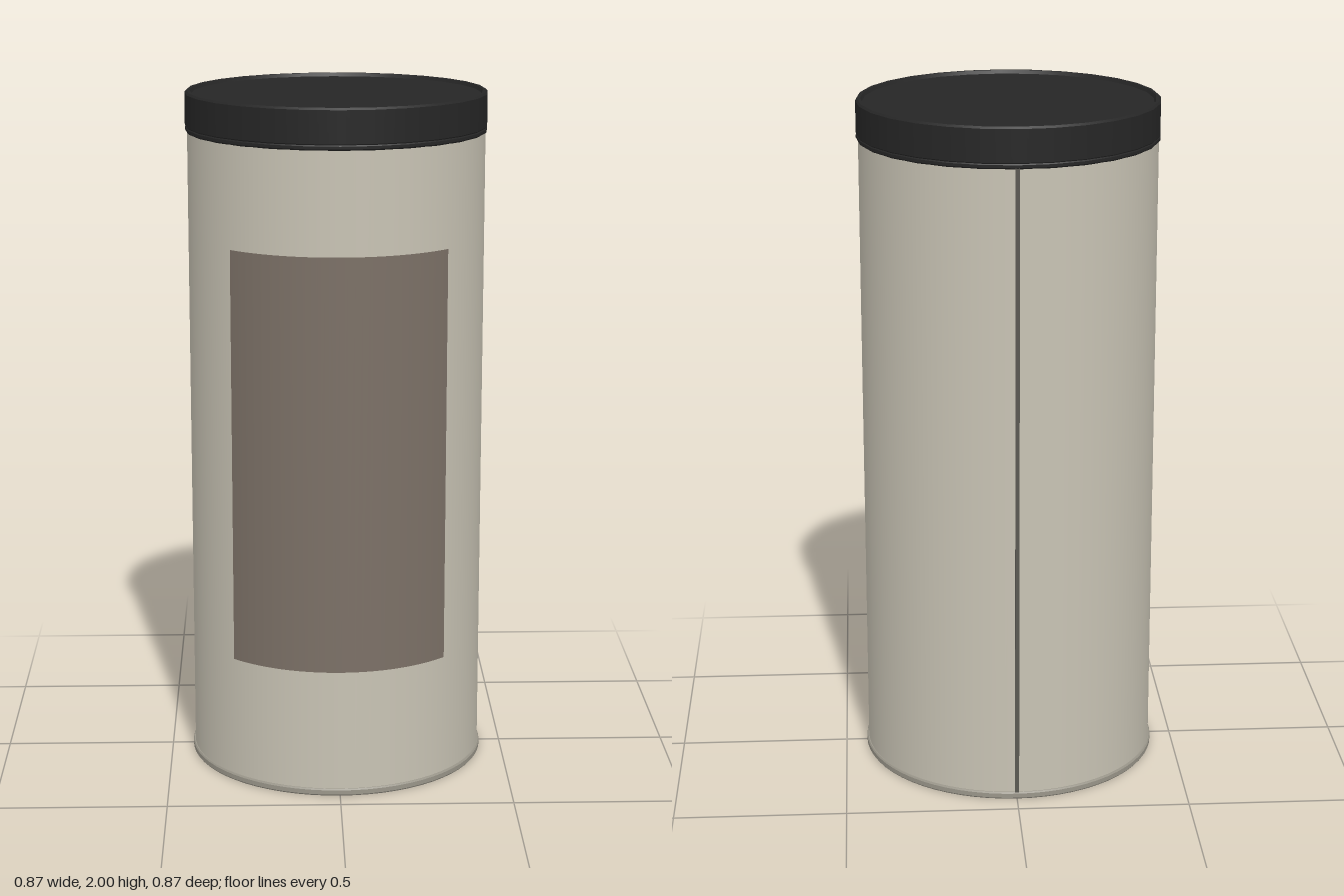
import * as THREE from 'three';

const HEIGHT = 2, BODY_R = 0.431, RIM_R = 0.437;

const material = (color, side = THREE.FrontSide) => new THREE.MeshStandardMaterial({ color, side });

function addMesh(group, name, geometry, mat) {
  const mesh = new THREE.Mesh(geometry, mat);
  mesh.name = name;
  group.add(mesh);
  return mesh;
}

// Lathe whose corners stay sharp: every inner profile point is doubled
function turned(profile, sides) {
  const points = [];
  profile.forEach(([r, y], i) => {
    points.push(new THREE.Vector2(r, y));
    if (i > 0 && i < profile.length - 1) points.push(new THREE.Vector2(r, y));
  });
  return new THREE.LatheGeometry(points, sides);
}

export function createModel() {
  const group = new THREE.Group();
  group.name = 'canister';
  const shell = material(0xc8c3b4);
  const black = material(0x262626);
  const dark = material(0x5a5852);

  // Tall tube wall
  const body = addMesh(group, 'body',
    new THREE.CylinderGeometry(BODY_R, BODY_R, 1.9, 64, 1, true), shell);
  body.position.y = 0.96;

  // Rolled rim around the foot
  addMesh(group, 'baseRim', turned([
    [0.425, 0], [0.434, 0], [RIM_R, 0.004], [RIM_R, 0.017], [0.434, 0.021], [0.428, 0.021],
  ], 64), material(0x9a968a));

  // Dark underside
  const bottom = addMesh(group, 'bottom', new THREE.CircleGeometry(0.43, 64), black);
  bottom.rotation.x = Math.PI / 2;
  bottom.position.y = 0.001;

  // Curved label covering the front quarter
  const label = addMesh(group, 'label',
    new THREE.CylinderGeometry(0.433, 0.433, 1.21, 32, 1, true, -Math.PI / 4, Math.PI / 2),
    material(0x7b7066, THREE.DoubleSide));
  label.position.y = 0.983;

  // Vertical seam down the back
  const seam = addMesh(group, 'backSeam', new THREE.BoxGeometry(0.012, 1.87, 0.008), dark);
  seam.position.set(0, 0.955, -0.431);

  // Faceted lid with a raised lip and a slightly sunken top
  addMesh(group, 'lid', turned([
    [0.415, 1.883], [0.433, 1.883], [RIM_R, 1.887], [RIM_R, 1.895], [0.435, 1.898],
    [RIM_R, 1.901], [RIM_R, 1.994], [0.432, HEIGHT], [0.423, HEIGHT],
    [0.418, 1.99], [0, 1.99],
  ], 28), black);

  return group;
}
